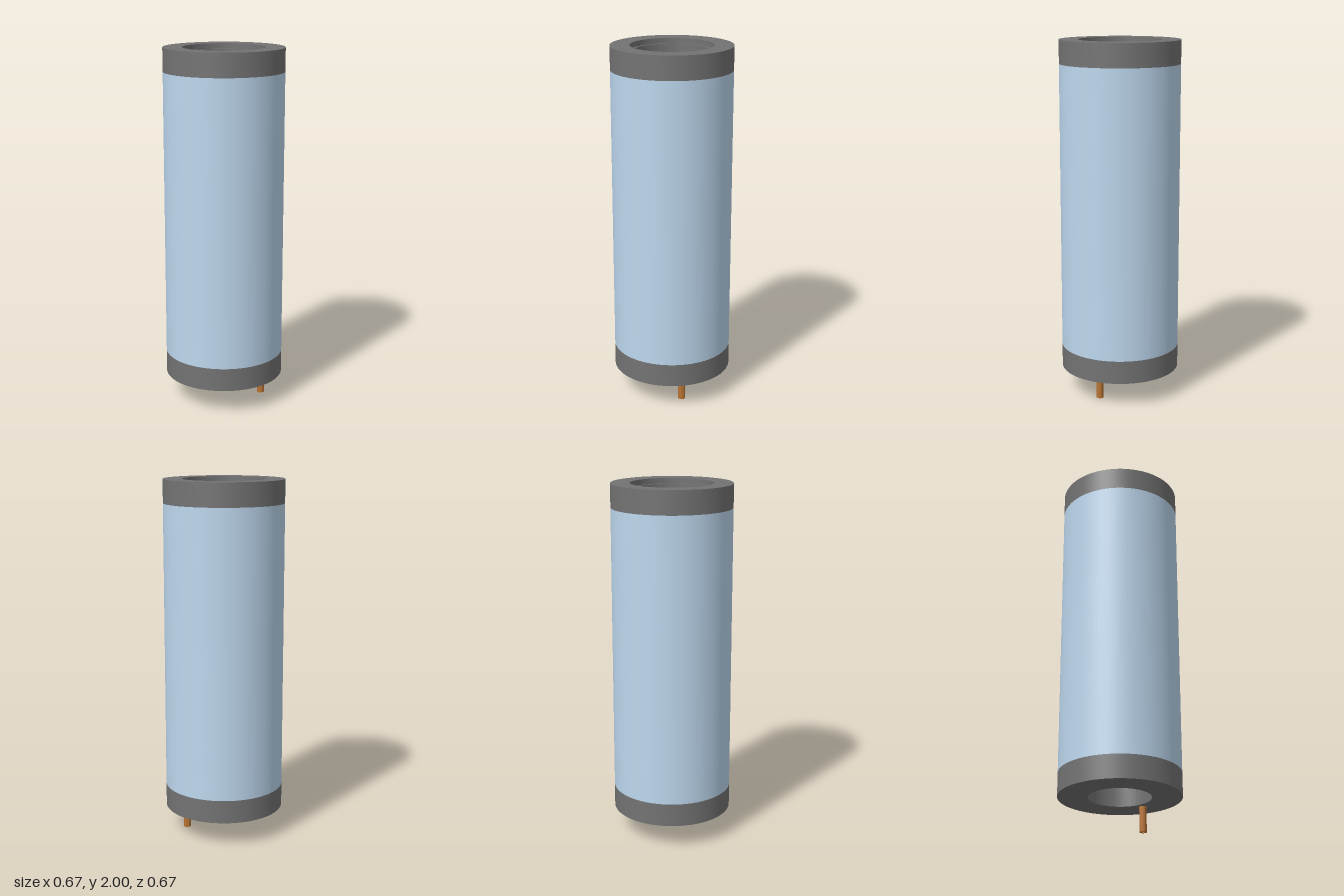
import * as THREE from 'three';
import { toCreasedNormals } from 'three/addons/utils/BufferGeometryUtils.js';

const mat = (color, metal) => new THREE.MeshStandardMaterial({ color });
const darkGrey = mat(0x737373), blue = mat(0xbdd7ee), copper = mat(0xb87333);
const steel = mat(0xb8b8c0), plateGrey = mat(0x999999), yellow = mat(0xe8d870);

// Round slab from y0 to y1 with round holes given as [x, z, radius]
function slab(radius, y0, y1, holes, segments = 48) {
  const shape = new THREE.Shape().absarc(0, 0, radius, 0, Math.PI * 2);
  for (const [x, z, r] of holes) {
    shape.holes.push(new THREE.Path().absarc(x, -z, r, 0, Math.PI * 2, true));
  }
  const g = new THREE.ExtrudeGeometry(shape, { depth: y1 - y0, bevelEnabled: false, curveSegments: segments });
  g.rotateX(-Math.PI / 2).translate(0, y0, 0);
  return toCreasedNormals(g, 0.6);
}

export function createModel() {
  const model = new THREE.Group();
  const add = (name, geometry, material, parent = model) => {
    const mesh = new THREE.Mesh(geometry, material);
    mesh.name = name;
    parent.add(mesh);
    return mesh;
  };
  const R = 0.333, portX = 0.215, floorY = 0.27;

  // Housing: blue sleeve around a grey liner
  add('bodySleeve', slab(R, floorY, 1.87, [[0, 0, 0.227]], 72), blue);
  add('innerLiner', slab(0.227, floorY, 1.87, [[0, 0, 0.213]], 72), darkGrey);

  // Top collar with a stepped window seat
  add('topCollar', slab(R, 1.87, 1.97, [[0, 0, 0.213]], 72), darkGrey);
  add('topCollarRim', slab(R, 1.97, 2, [[0, 0, 0.227]], 72), darkGrey);

  // Bottom collar and the floor closing it, pierced for twelve leads
  const pins = [];
  for (let i = 0; i < 12; i++) {
    const a = (i * Math.PI) / 6;
    pins.push([0.1 * Math.cos(a), 0.1 * Math.sin(a), 0.009]);
  }
  const port = [portX, 0, 0.024];
  add('bottomCollar', slab(R, 0.14, 0.255, [[0, 0, 0.17], port], 72), darkGrey);
  add('leadFloor', slab(R, 0.255, floorY, [port, ...pins], 72), darkGrey);

  // Hollow copper pipe below the collar
  const pipe = add('copperPipe', slab(0.02, 0, floorY, [[0, 0, 0.01]], 16), copper);
  pipe.position.x = portX;

  // Row of upright electrode discs between two yellow end plates
  const stack = new THREE.Group();
  stack.name = 'electrodeStack';
  model.add(stack);
  const stackY = 1.07;
  const disc = (name, radius, thickness, z, material) => {
    const g = new THREE.CylinderGeometry(radius, radius, thickness, 40).rotateX(Math.PI / 2);
    add(name, g, material, stack).position.set(0, stackY, z);
  };
  const discZ = Array.from({ length: 10 }, (_, i) => -0.18 + i * 0.04);
  discZ.forEach((z) => disc('electrodeDisc', 0.095, 0.004, z, plateGrey));
  for (const z of [-0.204, 0.204]) disc('endPlate', 0.08, 0.006, z, yellow);

  // Leads slanting from the floor holes to the discs; one hole stays empty
  const order = [0, 1, 2, 3, 4, 5, 6, 7, 8, 9, 10];
  const targets = [0.2, -0.18, -0.14, 0.1, -0.1, -0.02, 0.02, 0.06, 0.14, -0.06, 0.18];
  for (const i of order) {
    const start = new THREE.Vector3(pins[i][0], 0.26, pins[i][1]);
    const end = new THREE.Vector3(0, stackY - 0.09, targets[i]);
    add('leadWire', new THREE.TubeGeometry(new THREE.LineCurve3(start, end), 1, 0.005, 8), steel);
  }
  return model;
}
